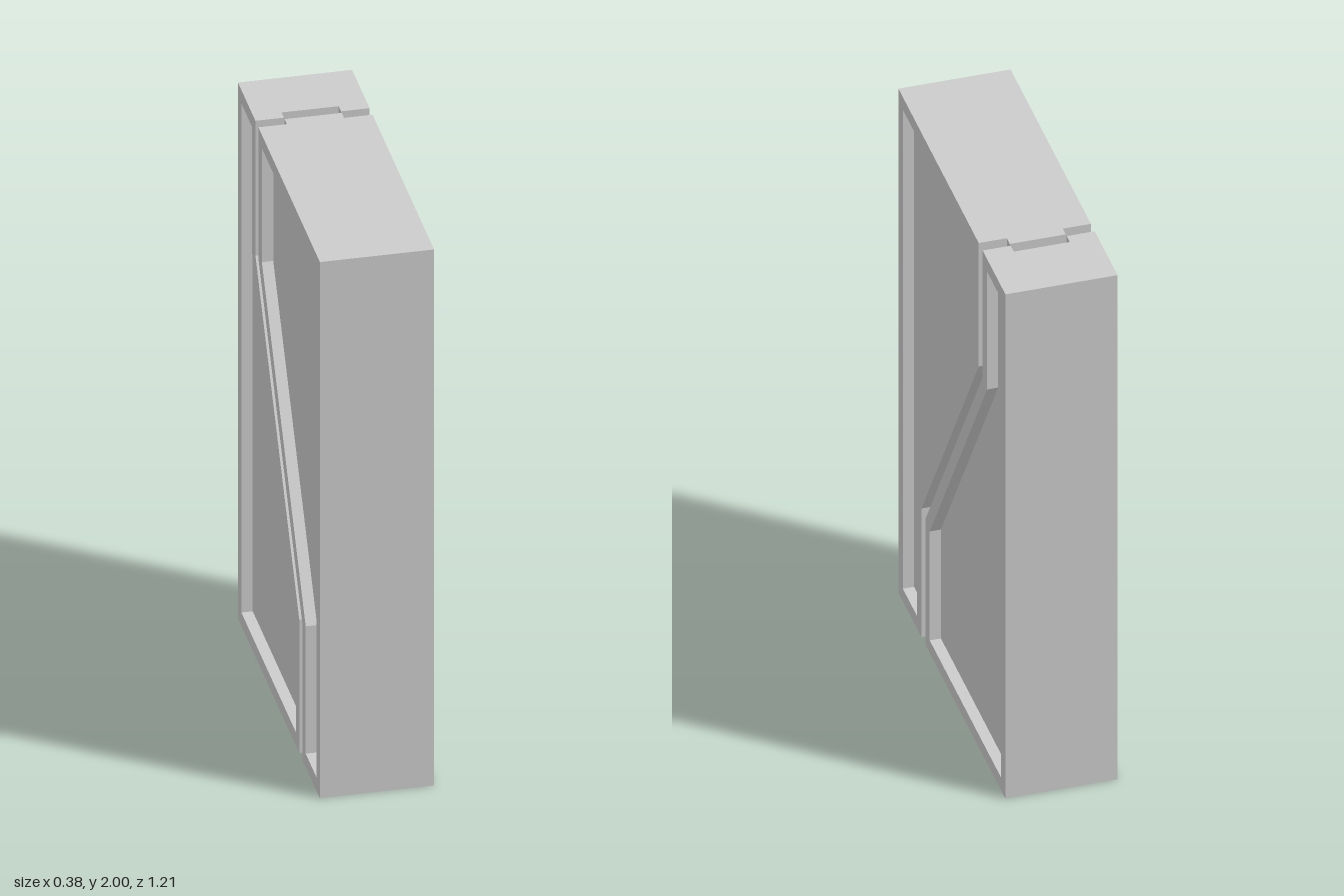
import * as THREE from 'three';

const HEIGHT = 2, END = 0.607;          // overall height, half length
const H = 0.19, C = 0.095, P = 0.152;   // half thickness, half tongue, panel plane
const BORDER = 0.05;                    // rim around the sunken panels

// Seam line in (z, y), shifted sideways by o with mitred knees, from y0 to y1
function seam(o, y0 = 0, y1 = HEIGHT) {
  const dy = o * 0.296;
  return [[0.312 + o, y0], [0.312 + o, 0.5 + dy], [-0.338 + o, 1.5 + dy], [-0.338 + o, y1]];
}

// Closed outline of a leaf: seam plus the straight far end
function outline(line, z) {
  return [[z, line[0][1]], ...line, [z, line[3][1]]];
}

// Adds a flat polygon (optionally with a hole) facing along "out"
function addFace(positions, out, ring, hole = []) {
  const n = new THREE.Vector3(...out);
  const a = out.map(Math.abs);
  const drop = a.indexOf(Math.max(...a));
  const flat = (pts) => pts.map((p) => new THREE.Vector2(...p.filter((_, i) => i !== drop)));
  const tris = THREE.ShapeUtils.triangulateShape(flat(ring), hole.length ? [flat(hole)] : []);
  const all = [...ring, ...hole].map((p) => new THREE.Vector3(...p));
  for (const [i, j, k] of tris) {
    const t = new THREE.Triangle(all[i], all[j], all[k]);
    const facing = t.getNormal(new THREE.Vector3()).dot(n) > 0;
    for (const v of facing ? [t.a, t.b, t.c] : [t.a, t.c, t.b]) positions.push(v.x, v.y, v.z);
  }
}

// One leaf; dir = 1 is the front leaf, -1 the back leaf
function createLeaf(name, dir, edgeOffset, coreOffset, panelOffset, material) {
  const pos = [];
  const end = dir * END;
  const edge = seam(edgeOffset), core = seam(coreOffset);
  const rim = outline(edge, end);
  const panel = outline(seam(panelOffset, BORDER, HEIGHT - BORDER), end - dir * BORDER);
  const at = (x, pts) => pts.map(([z, y]) => [x, y, z]);
  const strip = (p, q, x0, x1, out) =>
    addFace(pos, out, [...at(x0, [p, q]), ...at(x1, [q, p])]);
  // Normal of an outline edge, pointing into the leaf
  const inward = (p, q) => [0, -dir * (q[0] - p[0]), dir * (q[1] - p[1])];

  for (const s of [1, -1]) {
    // Rim, sunken panel and its reveal on each broad side
    addFace(pos, [s, 0, 0], at(s * H, rim), at(s * H, panel));
    addFace(pos, [s, 0, 0], at(s * P, panel));
    panel.forEach((p, i) => {
      const q = panel[(i + 1) % panel.length];
      strip(p, q, s * H, s * P, inward(p, q));
    });
    // Shoulder of the tongue or wall of the groove
    for (let i = 0; i < 3; i++) {
      addFace(pos, [s * dir, 0, 0],
        at(s * C, [edge[i], edge[i + 1], core[i + 1], core[i]]));
    }
  }

  // Seam edge: outer strips and the tongue or groove between them
  for (let i = 0; i < 3; i++) {
    const out = inward(edge[i], edge[i + 1]).map((v) => -v);
    strip(edge[i], edge[i + 1], C, H, out);
    strip(edge[i], edge[i + 1], -H, -C, out);
    strip(core[i], core[i + 1], -C, C, out);
  }

  // Bottom and top
  for (const i of [0, 3]) {
    const y = edge[i][1], ze = edge[i][0], zc = core[i][0];
    const ring = [[H, end], [H, ze], [C, ze], [C, zc], [-C, zc], [-C, ze], [-H, ze], [-H, end]];
    addFace(pos, [0, i ? 1 : -1, 0], ring.map(([x, z]) => [x, y, z]));
  }

  // Plain far end
  strip([end, 0], [end, HEIGHT], -H, H, [0, 0, dir]);

  const geometry = new THREE.BufferGeometry();
  geometry.setAttribute('position', new THREE.Float32BufferAttribute(pos, 3));
  geometry.computeVertexNormals();
  const mesh = new THREE.Mesh(geometry, material);
  mesh.name = name;
  return mesh;
}

export function createModel() {
  const group = new THREE.Group();
  group.name = 'slidingDoor';
  const material = new THREE.MeshStandardMaterial({ color: 0xcccccc, flatShading: true });
  group.add(
    createLeaf('frontLeafWithTongue', 1, 0.034, 0, 0.085, material),
    createLeaf('backLeafWithGroove', -1, -0.01, -0.045, -0.06, material),
  );
  return group;
}
